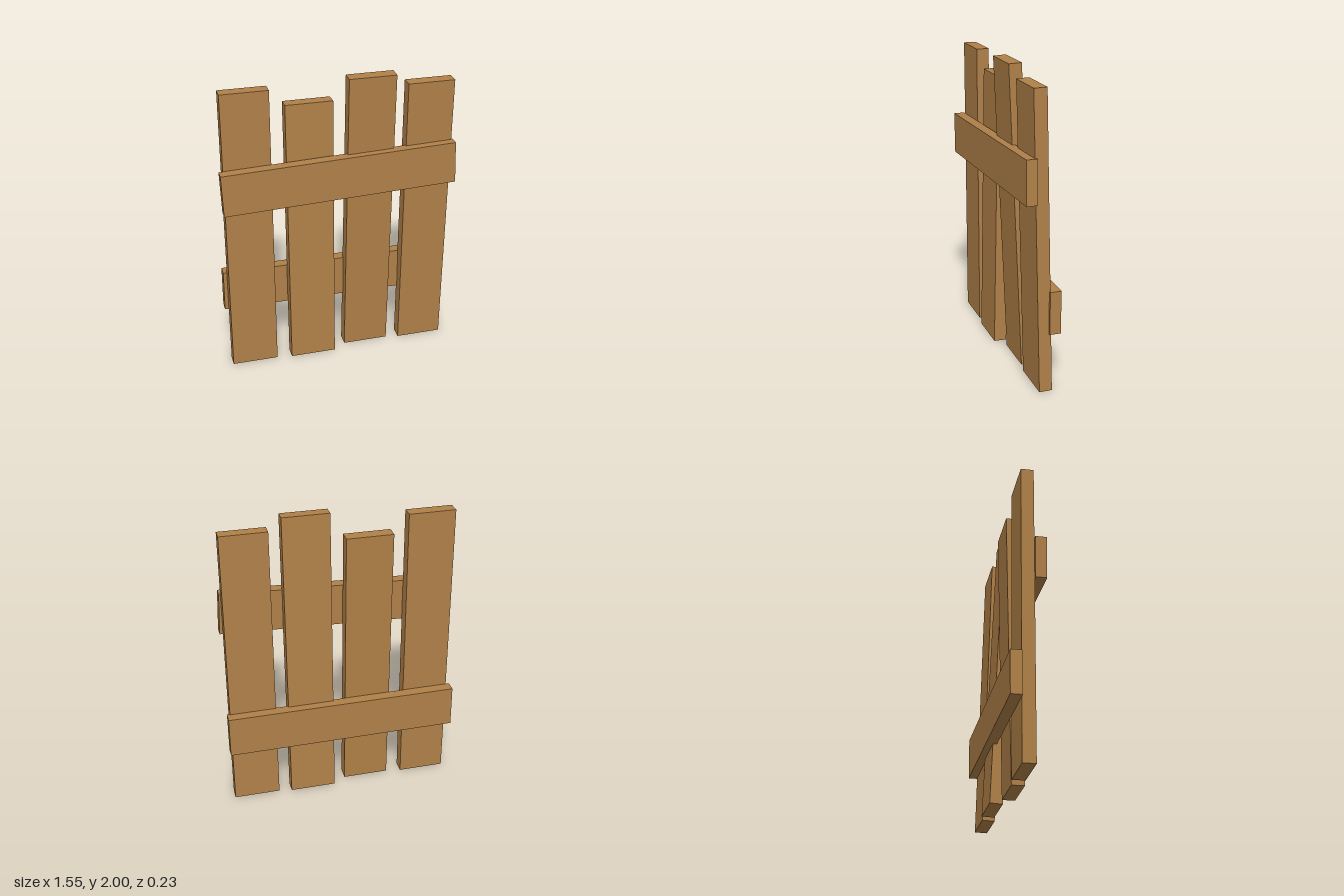
import * as THREE from 'three';

export function createModel() {
  const group = new THREE.Group();
  const wood = new THREE.MeshStandardMaterial({ color: 0xb08048, flatShading: true });

  const addBoard = (name, size, position, tiltX, tiltZ) => {
    const board = new THREE.Mesh(new THREE.BoxGeometry(...size), wood);
    board.name = name;
    board.position.set(...position);
    board.rotation.set(tiltX, 0, tiltZ);
    group.add(board);
  };

  // Upright planks: centre x, overall height, lean towards the front
  const planks = [
    [-0.592, 1.96, 0.003],
    [-0.186, 1.845, -0.016],
    [0.207, 2.0, 0.046],
    [0.598, 1.925, 0.029],
  ];
  const thickness = 0.083;
  planks.forEach(([x, height, lean], i) => {
    // Shorten the plank so its tilted corners still meet the ground and full height
    const length = (height - thickness * Math.sin(Math.abs(lean))) / Math.cos(lean);
    addBoard(`plank${i + 1}`, [0.307, length, thickness], [x, height / 2, 0], lean, 0);
  });

  // Cross rails: the upper one in front, the lower one behind
  addBoard('frontRail', [1.536, 0.28, 0.072], [0, 1.343, 0.079], 0, 0.036);
  addBoard('backRail', [1.54, 0.281, 0.072], [0, 0.535, -0.079], 0, -0.005);

  return group;
}
